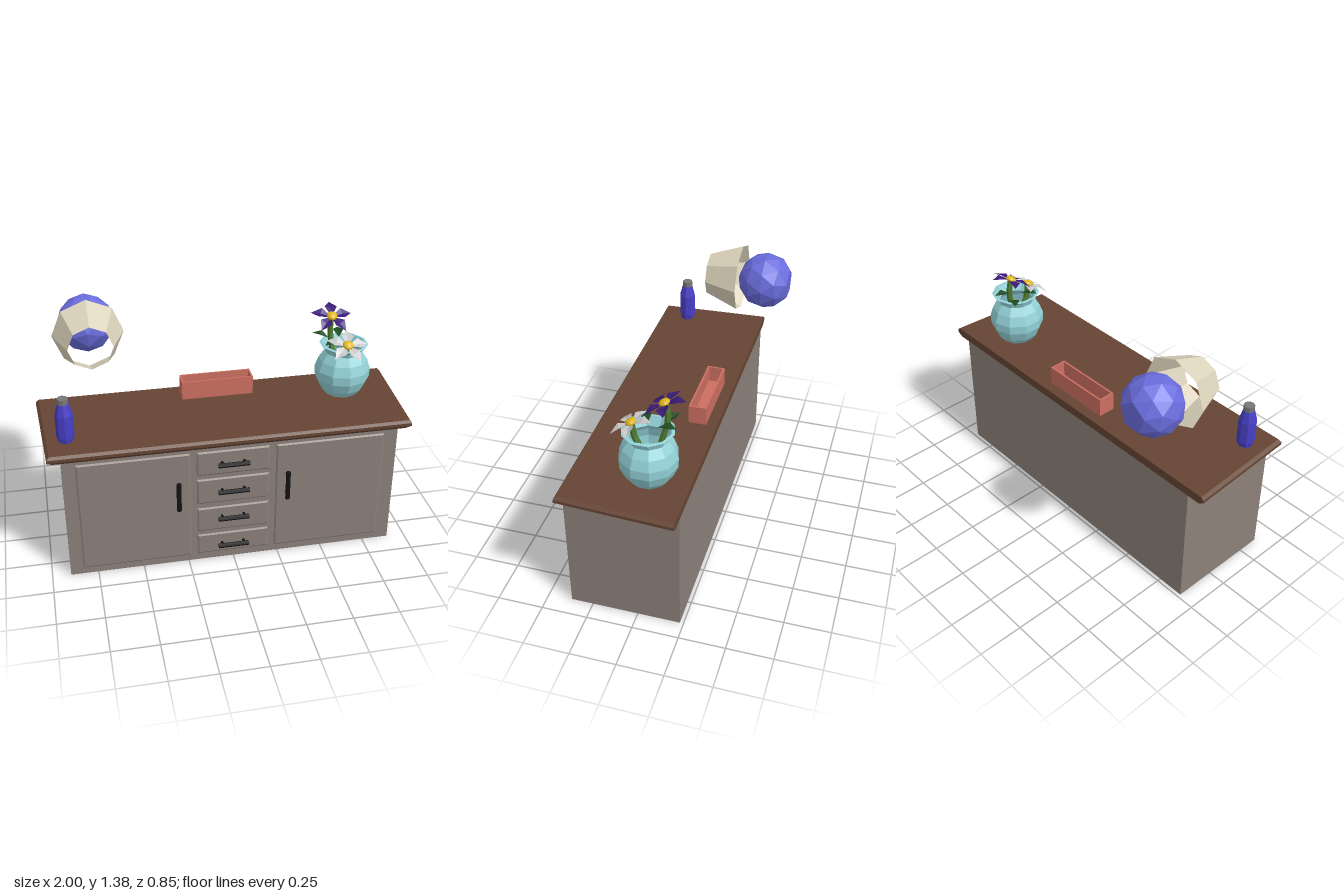
import * as THREE from 'three';

const mat = (color, side = THREE.FrontSide) =>
  new THREE.MeshStandardMaterial({ color, flatShading: true, side });

// Solid through four-cornered rings stacked along y
function loft(rings) {
  const pos = [];
  const quad = (a, b, c, d) => pos.push(...a, ...b, ...c, ...a, ...c, ...d);
  for (let r = 0; r < rings.length - 1; r++)
    for (let i = 0; i < 4; i++) {
      const j = (i + 1) % 4;
      quad(rings[r][i], rings[r][j], rings[r + 1][j], rings[r + 1][i]);
    }
  quad(...rings[rings.length - 1]);
  quad(...[...rings[0]].reverse());
  const g = new THREE.BufferGeometry();
  g.setAttribute('position', new THREE.Float32BufferAttribute(pos, 3));
  g.computeVertexNormals();
  return g;
}

// Ring with separate front and back half widths
const ring = (y, front, back, zFront, zBack) =>
  [[-front, y, zFront], [front, y, zFront], [back, y, zBack], [-back, y, zBack]];

export function createModel() {
  const root = new THREE.Group();
  const bodyMat = mat(0x8c8079), woodMat = mat(0x664534), handleMat = mat(0x141414);
  const blueMat = mat(0x6a6cdc), bottleMat = mat(0x4840c8), capMat = mat(0x777777);
  const potMat = mat(0x93d2d8, THREE.DoubleSide), creamMat = mat(0xddd4bc, THREE.DoubleSide);
  const boxMat = mat(0xcc6e60), greenMat = mat(0x4c7a30), yellowMat = mat(0xe0b818);
  const leafMat = mat(0x1f4a22, THREE.DoubleSide);

  const add = (name, geo, material, x = 0, y = 0, z = 0, parent = root) => {
    const m = new THREE.Mesh(geo, material);
    m.name = name;
    m.position.set(x, y, z);
    parent.add(m);
    return m;
  };

  // Cabinet body and bevelled top
  add('cabinetBody', new THREE.BoxGeometry(1.8, 0.72, 0.6), bodyMat, 0, 0.36, 0.07);
  add('tabletop', loft([
    ring(0.72, 0.94, 0.97, 0.375, -0.23),
    ring(0.738, 0.97, 1.0, 0.39, -0.23),
    ring(0.755, 0.97, 1.0, 0.39, -0.23),
    ring(0.77, 0.955, 0.985, 0.38, -0.23),
  ]), woodMat);

  // Raised door and drawer panels
  const panel = (name, x0, x1, y0, y1) => {
    const w = (x1 - x0) / 2, h = (y1 - y0) / 2, b = 0.008;
    const g = loft([ring(0, w, w, h, -h), ring(0.006, w, w, h, -h),
      ring(0.012, w - b, w - b, h - b, b - h)]);
    g.rotateX(Math.PI / 2);
    add(name, g, bodyMat, (x0 + x1) / 2, (y0 + y1) / 2, 0.368);
  };

  // Bar handle on two posts
  const handle = (name, x, y, vertical) => {
    const g = new THREE.Group();
    g.name = name;
    g.position.set(x, y, 0.37);
    if (vertical) g.rotation.z = Math.PI / 2;
    const bar = add('bar', new THREE.CylinderGeometry(0.013, 0.013, 0.168, 8), handleMat, 0, 0, 0.042, g);
    bar.rotation.z = Math.PI / 2;
    for (const s of [-1, 1])
      add('post', new THREE.CylinderGeometry(0.008, 0.008, 0.045, 8), handleMat, s * 0.06, 0, 0.021, g)
        .rotation.x = Math.PI / 2;
    root.add(g);
  };

  panel('rightDoor', -0.83, -0.235, 0.042, 0.7);
  panel('leftDoor', 0.23, 0.825, 0.042, 0.7);
  handle('rightDoorHandle', -0.303, 0.458, true);
  handle('leftDoorHandle', 0.289, 0.458, true);
  [[0.045, 0.17, 0.106], [0.195, 0.345, 0.286], [0.375, 0.53, 0.459], [0.555, 0.7, 0.629]]
    .forEach(([y0, y1, hy]) => {
      panel('drawer', -0.2, 0.193, y0, y1);
      handle('drawerHandle', -0.006, hy, false);
    });

  const lathe = (pts, n) => new THREE.LatheGeometry(pts.map(([r, y]) => new THREE.Vector2(r, y)), n);

  // Bottle with grey cap
  add('bottle', lathe([[0, 0], [0.04, 0], [0.047, 0.03], [0.047, 0.155], [0.03, 0.218], [0, 0.218]], 8),
    bottleMat, -0.86, 0.77, 0.23);
  add('bottleCap', new THREE.CylinderGeometry(0.029, 0.029, 0.03, 8), capMat, -0.86, 1.003, 0.23);

  // Open tray
  const tray = new THREE.Group();
  tray.name = 'tray';
  tray.position.set(0, 0.77, -0.125);
  root.add(tray);
  add('trayFloor', new THREE.BoxGeometry(0.4, 0.015, 0.096), boxMat, 0, 0.0075, 0, tray);
  for (const s of [-1, 1]) {
    add('trayLongWall', new THREE.BoxGeometry(0.4, 0.105, 0.01), boxMat, 0, 0.0525, s * 0.043, tray);
    add('trayEndWall', new THREE.BoxGeometry(0.01, 0.105, 0.076), boxMat, s * 0.195, 0.0525, 0, tray);
  }

  // Lamp: open shade facing forward, faceted bulb behind it
  add('lampShade', new THREE.CylinderGeometry(0.12, 0.192, 0.19, 8, 1, true), creamMat, -0.69, 1.19, -0.05)
    .rotation.x = Math.PI / 2;
  const bulb = new THREE.IcosahedronGeometry(0.158, 1);
  bulb.applyQuaternion(new THREE.Quaternion().setFromUnitVectors(
    new THREE.Vector3(0, 1, (1 + Math.sqrt(5)) / 2).normalize(), new THREE.Vector3(0, 0, 1)));
  const bp = bulb.attributes.position;
  for (let i = 0; i < bp.count; i++) bp.setZ(i, Math.max(bp.getZ(i), -0.136));
  bulb.computeVertexNormals();
  add('bulb', bulb, blueMat, -0.69, 1.19, -0.284);

  // Flower pot
  add('pot', lathe([[0.092, 0], [0.125, 0.04], [0.151, 0.1], [0.153, 0.15], [0.134, 0.205], [0.103, 0.25],
    [0.112, 0.275], [0.135, 0.295], [0.118, 0.298], [0.095, 0.25]], 10), potMat, 0.695, 0.77, -0.015);

  // Kite-shaped blade along +x with a sunken ridge and drooping tip
  const blade = (len, w) => {
    const base = [0, 0, 0], l = [len * 0.55, 0.014, -w], r = [len * 0.55, 0.014, w];
    const mid = [len * 0.55, 0.004, 0], tip = [len, -0.008, 0];
    const g = new THREE.BufferGeometry();
    g.setAttribute('position', new THREE.Float32BufferAttribute(
      [base, mid, l, base, r, mid, mid, tip, l, mid, r, tip].flat(), 3));
    g.computeVertexNormals();
    return g;
  };

  // Five-petalled flower tilted forward, on a curved stem
  const flower = (name, color, x, y, z, tilt, spin, foot) => {
    const petalMat = mat(color, THREE.DoubleSide);
    const g = new THREE.Group();
    g.name = name;
    g.position.set(x, y, z);
    g.rotation.x = tilt;
    for (let i = 0; i < 5; i++)
      add('petal', blade(0.118, 0.034), petalMat, 0, 0, 0, g).rotation.y = spin + i * Math.PI * 0.4;
    add('flowerCentre', new THREE.IcosahedronGeometry(0.03, 1), yellowMat, 0, 0.008, 0, g).scale.y = 0.6;
    root.add(g);
    const [fx, fz] = foot;
    const path = new THREE.CatmullRomCurve3([new THREE.Vector3(fx, 0.78, fz),
      new THREE.Vector3((fx + x) / 2, 0.95, (fz + z) / 2), new THREE.Vector3(x, y - 0.08, z - 0.015),
      new THREE.Vector3(x, y, z)]);
    add(name + 'Stem', new THREE.TubeGeometry(path, 8, 0.016, 6), greenMat);
  };
  flower('purpleFlower', 0x3b1a78, 0.64, 1.195, -0.085, 0.42, 0.2, [0.67, -0.04]);
  flower('whiteFlower', 0xd4d4d4, 0.69, 1.085, 0.07, 0.42, 0.1, [0.7, -0.02]);

  // Leaves
  [[0.63, 1.07, -0.08, 2.6], [0.66, 1.07, 0.0, 3.6], [0.68, 1.08, -0.06, 1.4]].forEach(([x, y, z, a]) => {
    const leaf = add('leaf', blade(0.1, 0.03), leafMat, x, y, z);
    leaf.rotation.set(0, a, 0.25);
  });

  return root;
}
